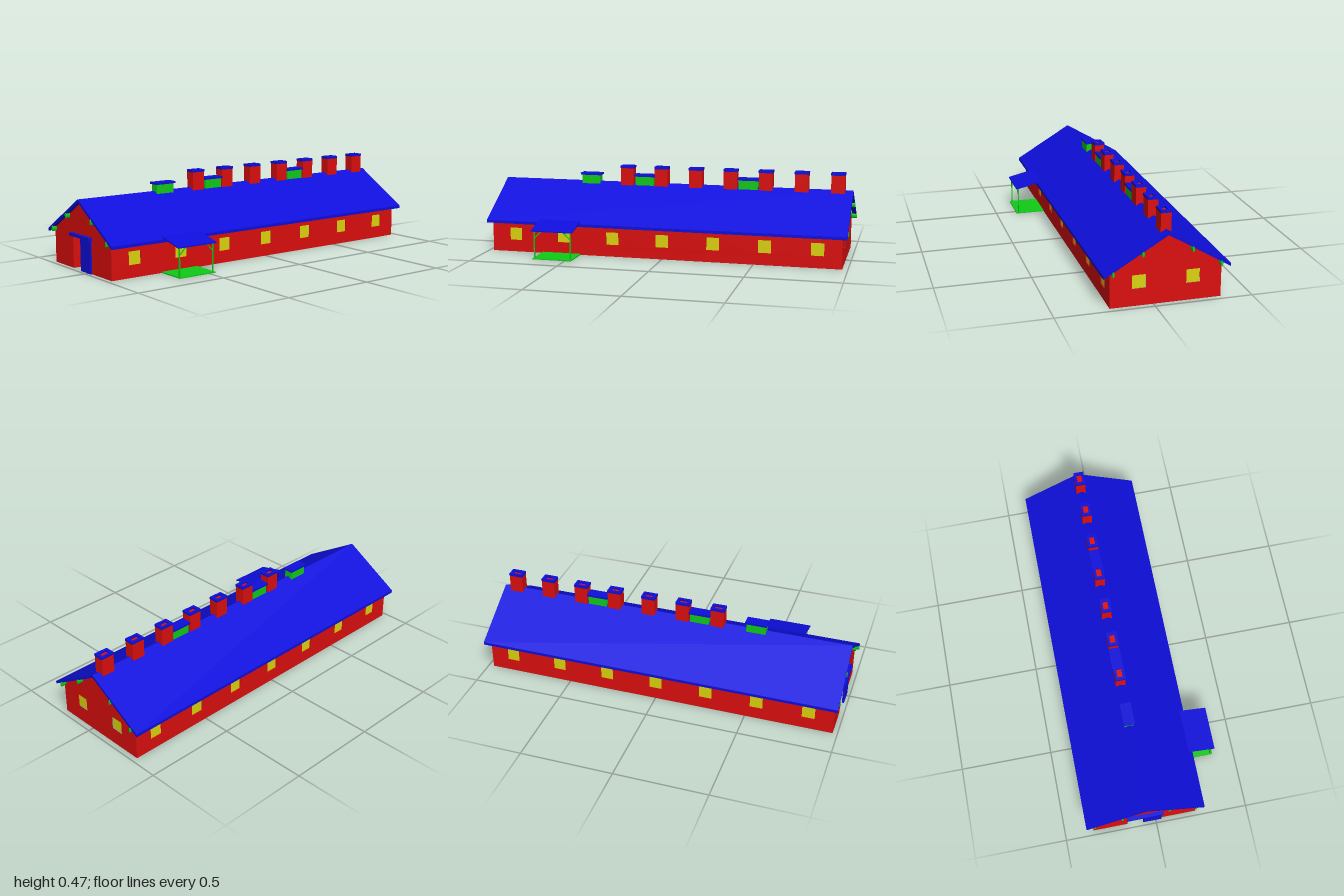
import * as THREE from 'three';

const mat = (color, side = THREE.FrontSide) => new THREE.MeshStandardMaterial({ color, side });
const RED = mat(0xdd0e0e), BLUE = mat(0x0e0edd), GREEN = mat(0x10cc18), YELLOW = mat(0xddd40e);

const X0 = -0.975, X1 = 0.97;            // gable ends
const Z0 = -0.345, Z1 = 0.22;            // back and front walls
const RIDGE = -0.0625, PEAK = 0.357, PITCH = 0.6;
const T = 0.015;                         // wall thickness
const WIN = 0.07;
const DOOR = [-0.157, 0.03];             // entrance recess along z
const under = z => PEAK - PITCH * Math.abs(z - RIDGE); // underside of roof

export function createModel() {
  const model = new THREE.Group();

  const add = (name, geo, material, x = 0, y = 0, z = 0) => {
    const m = new THREE.Mesh(geo, material);
    m.name = name;
    m.position.set(x, y, z);
    model.add(m);
    return m;
  };
  // box given by its two extreme corners
  const box = (name, material, [ax, ay, az], [bx, by, bz]) =>
    add(name, new THREE.BoxGeometry(bx - ax, by - ay, bz - az), material,
      (ax + bx) / 2, (ay + by) / 2, (az + bz) / 2);
  const outline = pts => new THREE.Shape(pts.map(p => new THREE.Vector2(...p)));
  const square = (cx, cy, w, h) => new THREE.Path([
    [cx - w / 2, cy - h / 2], [cx - w / 2, cy + h / 2],
    [cx + w / 2, cy + h / 2], [cx + w / 2, cy - h / 2]].map(p => new THREE.Vector2(...p)));
  const extrude = (shape, depth) => new THREE.ExtrudeGeometry(shape, { depth, bevelEnabled: false });
  // profile of [z, y] points swept along x
  const sweepX = (name, material, pts, x, depth, holes = []) => {
    const s = outline(pts.map(([z, y]) => [-z, y]));
    s.holes.push(...holes);
    return add(name, extrude(s, depth).rotateY(Math.PI / 2), material, x);
  };

  // long walls with seven windows each
  const windowXs = [-3, -2, -1, 0, 1, 2, 3].map(i => i * 0.28);
  for (const [name, z] of [['front', Z1 - T], ['back', Z0]]) {
    const h = under(Z1);
    const s = outline([[X0, 0], [X1, 0], [X1, h], [X0, h]]);
    windowXs.forEach(x => s.holes.push(square(x, 0.1, WIN, WIN)));
    add(name + 'Wall', extrude(s, T), RED, 0, 0, z);
    for (const x of windowXs)
      add(name + 'Window', new THREE.BoxGeometry(WIN, WIN, 0.005), YELLOW, x, 0.1, z + T / 2);
  }

  // gable walls: one with two windows, one with the entrance opening
  const top = [[Z1, under(Z1)], [RIDGE, PEAK], [Z0, under(Z0)]];
  const gableZs = [0.075, -0.2];
  sweepX('leftGable', RED, [[Z0, 0], [Z1, 0], ...top], X1 - T, T,
    gableZs.map(z => square(-z, 0.125, WIN, WIN)));
  for (const z of gableZs)
    add('gableWindow', new THREE.BoxGeometry(0.005, WIN, WIN), YELLOW, X1 - T / 2, 0.125, z);
  sweepX('rightGable', RED, [[Z0, 0], [DOOR[0], 0], [DOOR[0], 0.175], [DOOR[1], 0.175],
    [DOOR[1], 0], [Z1, 0], ...top], X0, T);

  // entrance recess
  const recessX = -0.62;
  for (const z of DOOR) {
    const a = z < RIDGE ? z - 0.008 : z;
    box('recessSide', RED, [X0 + T, 0, a], [recessX, under(z) - 0.005, a + 0.008]);
  }
  sweepX('recessEnd', RED, [[DOOR[0], 0], [DOOR[1], 0], [DOOR[1], under(DOOR[1])],
    [RIDGE, PEAK], [DOOR[0], under(DOOR[0])]], recessX - 0.008, 0.008);
  box('entranceDoor', BLUE, [X0 - 0.008, 0, -0.07], [X0 + 0.004, 0.175, DOOR[1]]);
  box('entranceCanopy', BLUE, [X0 - 0.02, 0.173, DOOR[0] - 0.005], [X0 + 0.005, 0.188, DOOR[1] + 0.005]);

  // pitched roof
  const E0 = -0.383, E1 = 0.258, R = 0.016;
  sweepX('roof', BLUE, [[E1, under(E1)], [E1, under(E1) + R], [RIDGE, PEAK + R],
    [E0, under(E0) + R], [E0, under(E0)], [RIDGE, PEAK]].reverse(), -0.996, 1.992);

  // round purlin ends under the verges
  for (const z of [0.21, 0.063, -0.188, -0.336])
    for (const [a, b] of [[-1, X0 + 0.01], [X1 - 0.01, 1]]) {
      const g = new THREE.CylinderGeometry(0.006, 0.006, b - a, 12).rotateZ(Math.PI / 2).scale(1, 2.4, 1);
      add('purlinEnd', g, GREEN, (a + b) / 2, under(z) - 0.009, z);
    }

  // chimneys with open caps
  for (let i = 0; i < 7; i++) {
    const x = -0.265 + i * 0.1967;
    box('chimney', RED, [x - 0.037, 0.33, RIDGE - 0.027], [x + 0.037, 0.456, RIDGE + 0.027]);
    const s = outline([[-0.039, -0.028], [0.039, -0.028], [0.039, 0.028], [-0.039, 0.028]]);
    s.holes.push(square(0, 0, 0.046, 0.028));
    add('chimneyCap', extrude(s, 0.013).rotateX(-Math.PI / 2), BLUE, x, 0.454, RIDGE);
  }

  // ridge vents
  for (const x of [-0.48, -0.165, 0.425]) {
    box('ridgeVent', GREEN, [x - 0.053, 0.34, RIDGE - 0.024], [x + 0.053, 0.41, RIDGE + 0.024]);
    box('ventCap', BLUE, [x - 0.06, 0.408, RIDGE - 0.03], [x + 0.06, 0.419, RIDGE + 0.03]);
  }

  // front porch
  sweepX('porchRoof', BLUE, [[0.2, 0.195], [0.383, 0.153], [0.383, 0.159], [0.2, 0.202]], -0.69, 0.235);
  box('porchFloor', GREEN, [-0.682, 0, Z1], [-0.463, 0.006, 0.384]);
  for (const [x, dir] of [[-0.675, 1], [-0.47, -1]]) {
    box('porchPost', GREEN, [x - 0.003, 0, 0.367], [x + 0.003, 0.157, 0.373]);
    const brace = add('porchBrace', new THREE.BoxGeometry(0.005, 0.06, 0.005), GREEN,
      x + dir * 0.02, 0.134, 0.37);
    brace.rotation.z = -dir * Math.PI / 4;
  }
  return model;
}
